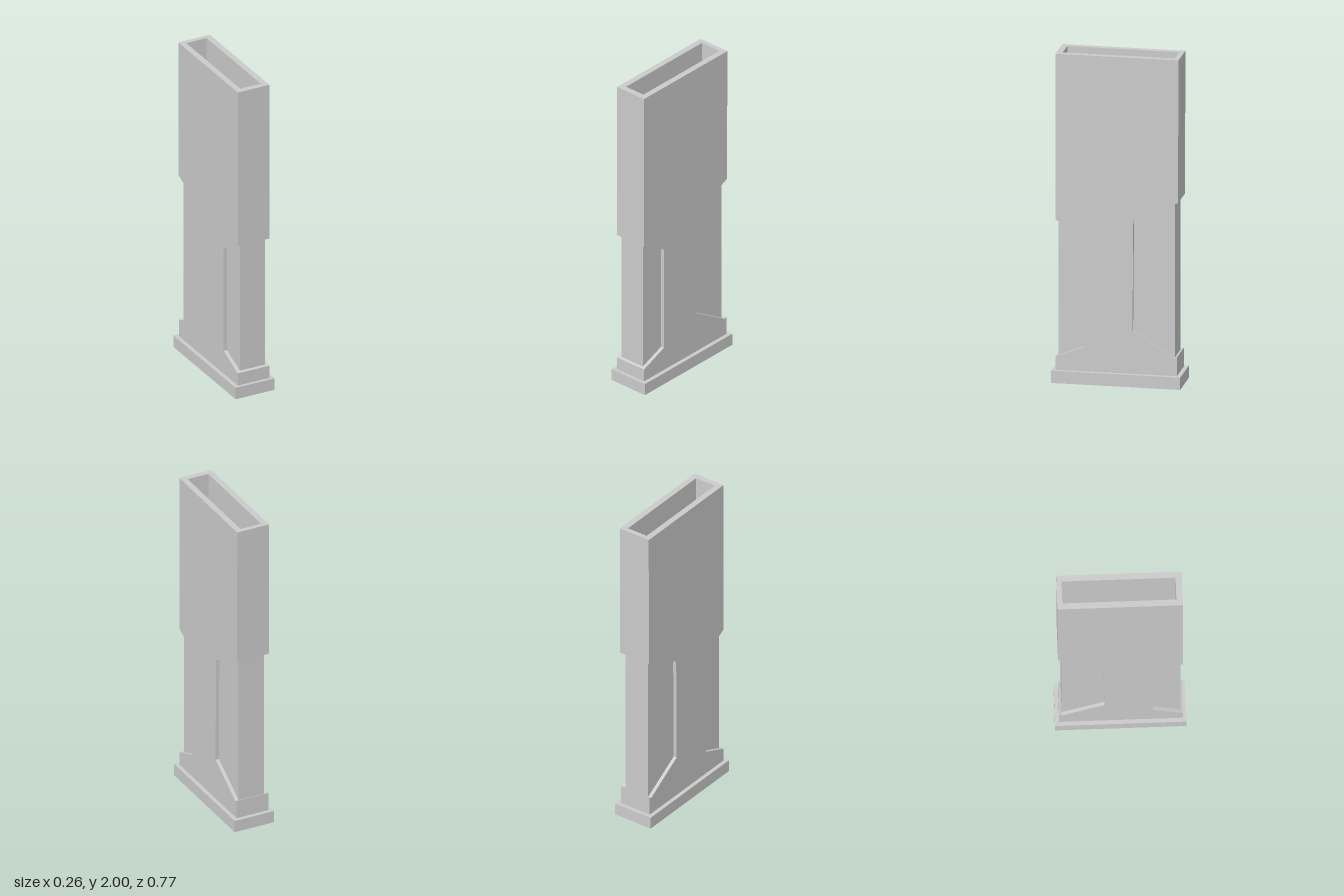
import * as THREE from 'three';

const W = 0.105;   // half width of the shell
const CORE = 0.083; // half width of the recessed core
const TOP = 2, FLOOR = 0.08;

// Points are [z, y]. Each recess starts and ends on the outer face of the core.
const frontRecess = [[0.35, 0.982], [0.19, 0.895], [0.19, 0.225], [0.35, 0.161]];
const backRecess = [[-0.345, 0.184], [-0.095, 0.335], [-0.1, 1.01], [-0.345, 1.121]];
const frontEdge = [[0.365, TOP], [0.365, 0.99], ...frontRecess, [0.365, 0.155], [0.365, 0.075]];
const backEdge = [[-0.36, 0.075], [-0.36, 0.19], ...backRecess, [-0.367, 1.13], [-0.37, TOP]];

const material = new THREE.MeshStandardMaterial({ color: 0xcccccc, flatShading: true });

function mesh(name, geometry, mat = material) {
  const m = new THREE.Mesh(geometry, mat);
  m.name = name;
  return m;
}

// Strips that join consecutive profile points across the given x ranges
function strips(points, ranges) {
  const pos = [];
  for (let i = 0; i < points.length - 1; i++) {
    const [az, ay] = points[i], [bz, by] = points[i + 1];
    for (const [x0, x1] of ranges) {
      pos.push(x1, ay, az, x0, ay, az, x0, by, bz);
      pos.push(x1, ay, az, x0, by, bz, x1, by, bz);
    }
  }
  const g = new THREE.BufferGeometry();
  g.setAttribute('position', new THREE.Float32BufferAttribute(pos, 3));
  g.computeVertexNormals();
  return g;
}

// Flat panel in the zy plane at x, facing away from the middle
function panel(points, x) {
  const s = Math.sign(x);
  const shape = new THREE.Shape(points.map(([z, y]) => new THREE.Vector2(-s * z, y)));
  return new THREE.ShapeGeometry(shape).rotateY(s * Math.PI / 2).translate(x, 0, 0);
}

function rectangle(path, hw, z0, z1) {
  path.moveTo(-hw, -z0).lineTo(hw, -z0).lineTo(hw, -z1).lineTo(-hw, -z1).closePath();
  return path;
}

export function createModel() {
  const model = new THREE.Group();
  model.name = 'magazine';

  // Base plate
  const base = mesh('basePlate', new THREE.BoxGeometry(2 * 0.13, 0.075, 0.77));
  base.position.y = 0.0375;
  model.add(base);

  // Broad sides and recessed core sides
  for (const s of [1, -1]) {
    const side = s > 0 ? 'left' : 'right';
    model.add(mesh(side + 'Side', panel([...frontEdge, ...backEdge], s * W)));
    model.add(mesh(side + 'FrontRecess', panel(frontRecess, s * CORE)));
    model.add(mesh(side + 'BackRecess', panel(backRecess, s * CORE)));
  }

  // Narrow walls: full width outside the recess, steps along it, core behind it
  const full = [[-W, W]], steps = [[-W, -CORE], [CORE, W]];
  for (const [name, edge, recess] of [['front', frontEdge, frontRecess], ['back', backEdge, backRecess]]) {
    model.add(mesh(name + 'FirstWall', strips(edge.slice(0, 3), full)));
    model.add(mesh(name + 'LastWall', strips(edge.slice(5), full)));
    model.add(mesh(name + 'RecessSteps', strips(recess, steps)));
    model.add(mesh(name + 'CoreWall', strips([recess[0], recess[3]], [[-CORE, CORE]])));
  }

  // Rim around the open top
  const rim = rectangle(new THREE.Shape(), W, 0.365, -0.37);
  rim.holes.push(rectangle(new THREE.Path(), 0.068, 0.328, -0.34));
  model.add(mesh('rim', new THREE.ShapeGeometry(rim).rotateX(-Math.PI / 2).translate(0, TOP, 0)));

  // Inside of the hollow: a box seen from within, without its top face
  const hollow = new THREE.BoxGeometry(2 * 0.068, TOP - FLOOR, 0.668);
  const index = Array.from(hollow.index.array);
  index.splice(12, 6);
  hollow.setIndex(index);
  hollow.translate(0, (TOP + FLOOR) / 2, -0.006);
  const inside = material.clone();
  inside.side = THREE.BackSide;
  model.add(mesh('hollow', hollow, inside));

  return model;
}
